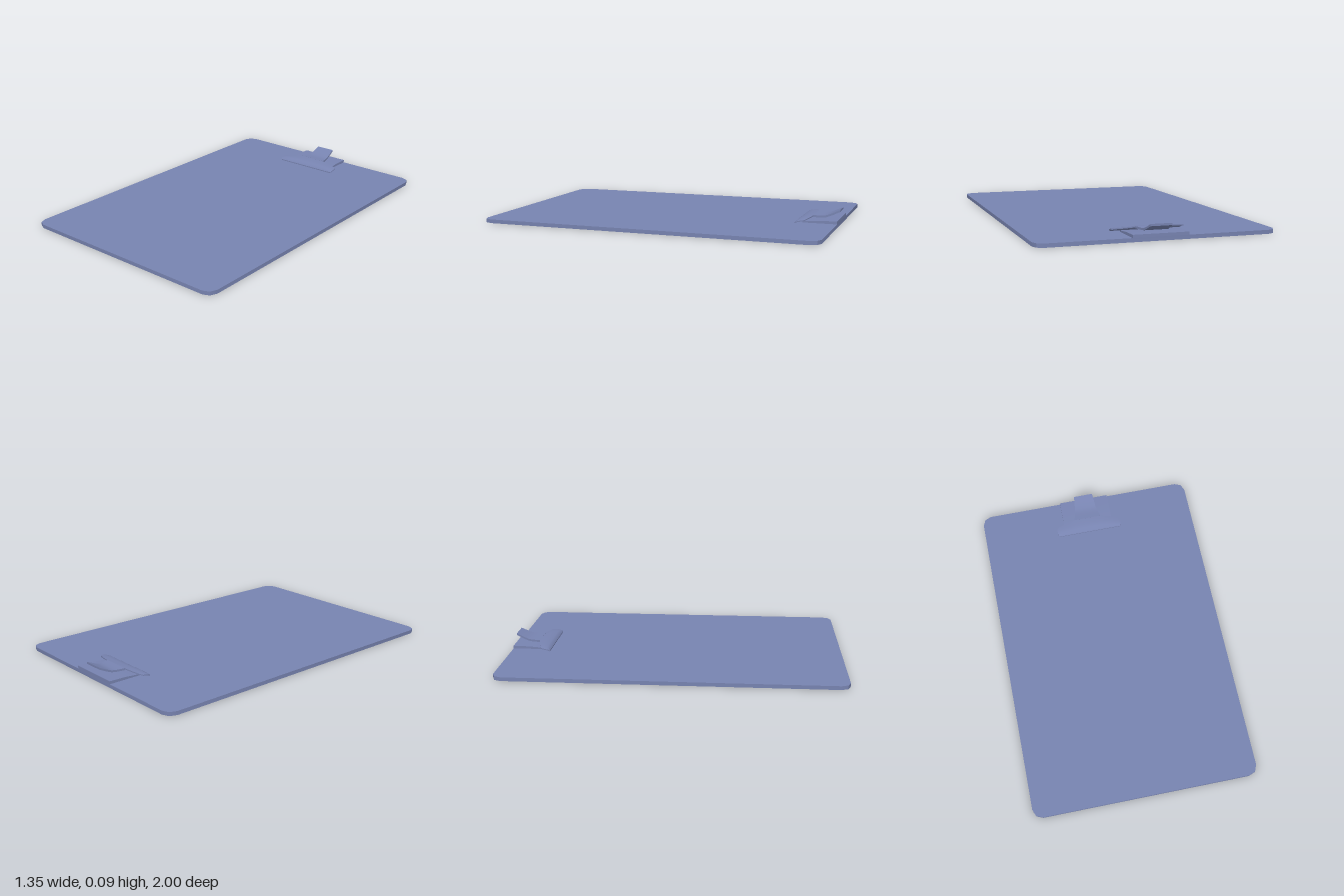
import * as THREE from 'three';
import { toCreasedNormals } from 'three/addons/utils/BufferGeometryUtils.js';

const material = new THREE.MeshStandardMaterial({ color: 0x7783b0 });

function part(name, geometry) {
  const mesh = new THREE.Mesh(toCreasedNormals(geometry, 0.6), material);
  mesh.name = name;
  return mesh;
}

// Closed bent sheet: rows run back to front, points in a row run along +x
function sheet(rows, thickness) {
  const n = rows.length, m = rows[0].length, pos = [], index = [];
  for (const dy of [0, -thickness])
    for (const row of rows) for (const [x, y, z] of row) pos.push(x, y + dy, z);
  const id = (i, j) => i * m + j, low = n * m;
  const quad = (a, b, c, d) => index.push(a, b, c, a, c, d);
  for (let i = 0; i < n - 1; i++)
    for (let j = 0; j < m - 1; j++) {
      const a = id(i, j), b = id(i + 1, j), c = id(i + 1, j + 1), d = id(i, j + 1);
      quad(a, b, c, d);
      quad(low + d, low + c, low + b, low + a);
    }
  // Rim around the sheet
  const rim = [];
  for (let i = 0; i < n - 1; i++) rim.push(id(i, 0));
  for (let j = 0; j < m - 1; j++) rim.push(id(n - 1, j));
  for (let i = n - 1; i > 0; i--) rim.push(id(i, m - 1));
  for (let j = m - 1; j > 0; j--) rim.push(id(0, j));
  rim.forEach((p, k) => {
    const q = rim[(k + 1) % rim.length];
    quad(p, low + p, low + q, q);
  });
  const g = new THREE.BufferGeometry();
  g.setAttribute('position', new THREE.Float32BufferAttribute(pos, 3));
  g.setIndex(index);
  return g;
}

// Mirror a half row (centre outwards) to both sides
const mirrored = half => [
  ...half.slice(1).reverse().map(([x, y, z]) => [-x, y, z]),
  ...half,
];

function boardGeometry(w, d, h, r) {
  const s = new THREE.Shape();
  const x = w / 2, y = d / 2, q = Math.PI / 2;
  s.moveTo(x - r, -y);
  s.absarc(x - r, -y + r, r, -q, 0);
  s.absarc(x - r, y - r, r, 0, q);
  s.absarc(-x + r, y - r, r, q, 2 * q);
  s.absarc(-x + r, -y + r, r, 2 * q, 3 * q);
  s.closePath();
  // An arc gets twice this many segments
  const g = new THREE.ExtrudeGeometry(s, { depth: h, bevelEnabled: false, curveSegments: 1 });
  return g.rotateX(-Math.PI / 2);
}

export function createModel() {
  const model = new THREE.Group();
  model.name = 'clipboard';
  model.add(part('board', boardGeometry(1.35, 2, 0.022, 0.055)));

  const clip = new THREE.Group();
  clip.name = 'clip';
  model.add(clip);

  // Wedge-shaped plate under the clip
  const plate = new THREE.Shape();
  [[1, 0.02], [0.8, 0.02], [0.8, 0.029], [0.9, 0.037], [1, 0.039]].forEach(([z, y], i) =>
    i ? plate.lineTo(z, y) : plate.moveTo(z, y));
  plate.closePath();
  const plateGeometry = new THREE.ExtrudeGeometry(plate, { depth: 0.314, bevelEnabled: false });
  plateGeometry.rotateY(Math.PI / 2).translate(-0.157, 0, 0);
  clip.add(part('basePlate', plateGeometry));

  // Thumb lever: z, height, half width
  const lever = [
    [-1, 0.09, 0.06], [-0.955, 0.069, 0.065], [-0.925, 0.057, 0.068],
    [-0.9, 0.054, 0.072], [-0.875, 0.055, 0.079], [-0.85, 0.056, 0.086],
  ].map(([z, y, x]) => mirrored([[0, y, z], [x, y, z]]));
  clip.add(part('lever', sheet(lever, 0.012)));

  // Arched jaw with a down-turned lip
  const jaw = [
    [[0, 0.056, -0.85], [0.086, 0.055, -0.85], [0.14, 0.05, -0.838], [0.19, 0.046, -0.825], [0.207, 0.042, -0.812]],
    [[0, 0.053, -0.815], [0.086, 0.052, -0.815], [0.14, 0.049, -0.811], [0.19, 0.045, -0.806], [0.208, 0.041, -0.8]],
    [[0, 0.046, -0.785], [0.086, 0.046, -0.785], [0.14, 0.045, -0.785], [0.19, 0.042, -0.785], [0.208, 0.038, -0.785]],
    [[0, 0.038, -0.772], [0.086, 0.038, -0.772], [0.14, 0.038, -0.772], [0.19, 0.037, -0.772], [0.207, 0.034, -0.772]],
    [[0, 0.028, -0.765], [0.086, 0.028, -0.765], [0.14, 0.028, -0.765], [0.19, 0.028, -0.765], [0.203, 0.029, -0.765]],
  ].map(mirrored);
  clip.add(part('jaw', sheet(jaw, 0.006)));

  return model;
}
